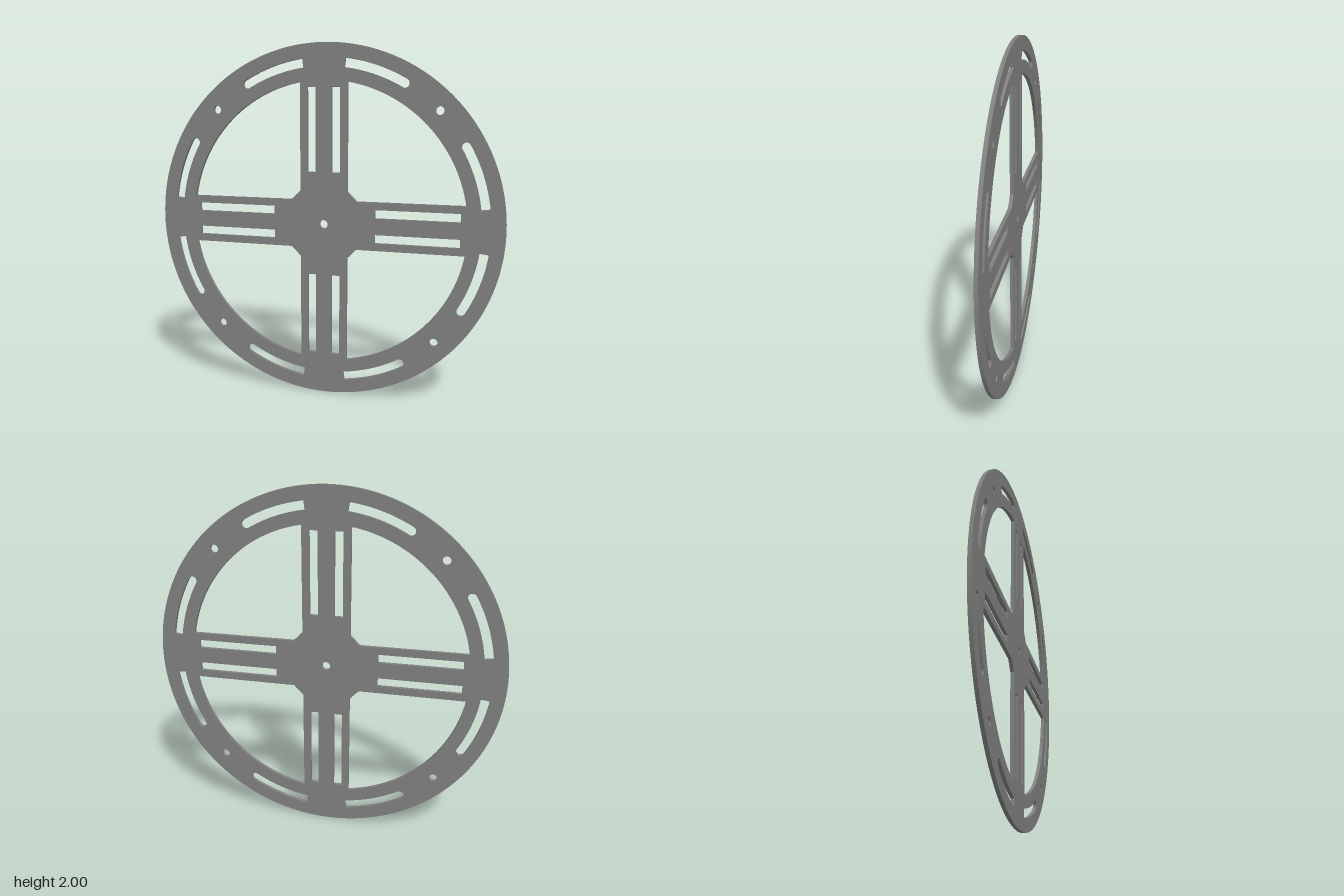
import * as THREE from 'three';
import { toCreasedNormals } from 'three/addons/utils/BufferGeometryUtils.js';

const OUTER = 1, INNER = 0.8, THICK = 0.02;
const SPOKE = 0.136;                  // half width of a spoke
const HUB = 0.19;                     // where the hub's chamfer meets a spoke
const SLOT_R = 0.898, SLOT_W = 0.0245; // curved slot: mid radius, half width
const rad = THREE.MathUtils.degToRad;

const circle = (x, y, r) => new THREE.Path().absarc(x, y, r, 0, Math.PI * 2, false);

// Opening between two spokes, in the first quadrant
function quadrantOpening() {
  const a = Math.asin(SPOKE / INNER);
  const p = new THREE.Path();
  p.moveTo(SPOKE, HUB);
  p.lineTo(HUB, SPOKE);
  p.absarc(0, 0, INNER, a, Math.PI / 2 - a, false);
  p.closePath();
  return p;
}

// Curved rim slot: square end by the spoke, round end away from it
function rimSlot() {
  const a = rad(7.6), b = rad(29.9);
  const p = new THREE.Path();
  p.absarc(0, 0, SLOT_R + SLOT_W, a, b, false);
  p.absarc(SLOT_R * Math.cos(b), SLOT_R * Math.sin(b), SLOT_W, b, b + Math.PI, false);
  p.absarc(0, 0, SLOT_R - SLOT_W, b, a, true);
  p.closePath();
  return p;
}

// Straight slot along a spoke
function spokeSlot() {
  const [x0, x1, y0, y1] = [0.294, 0.762, 0.046, 0.094];
  return new THREE.Path([[x0, y0], [x1, y0], [x1, y1], [x0, y1]].map(c => new THREE.Vector2(...c)));
}

// Copy of a path, mirrored across the x axis if asked, then turned
function place(path, turn, mirror = 1, divisions = 24) {
  const o = new THREE.Vector2();
  return new THREE.Path(path.getPoints(divisions).map(
    p => new THREE.Vector2(p.x, p.y * mirror).rotateAround(o, turn)));
}

export function createModel() {
  const plate = new THREE.Shape().absarc(0, 0, OUTER, 0, Math.PI * 2, false);
  plate.holes.push(place(circle(0, 0, 0.024), 0, 1, 12)); // axle hole

  for (let i = 0; i < 4; i++) {
    const turn = i * Math.PI / 2;
    plate.holes.push(place(quadrantOpening(), turn, 1, 40));
    plate.holes.push(place(circle(0.636, 0.636, 0.023), turn, 1, 12)); // bolt hole
    for (const mirror of [1, -1]) {
      plate.holes.push(place(rimSlot(), turn, mirror, 16));
      plate.holes.push(place(spokeSlot(), turn, mirror));
    }
  }

  const geometry = new THREE.ExtrudeGeometry(plate, { depth: THICK, bevelEnabled: false, curveSegments: 72 });
  geometry.translate(0, OUTER, -THICK / 2);

  // Dark grey plate
  const wheel = new THREE.Mesh(
    toCreasedNormals(geometry, rad(35)),
    new THREE.MeshStandardMaterial({ color: 0x808080 }));
  wheel.name = 'wheelPlate';

  const group = new THREE.Group();
  group.name = 'spokedWheel';
  group.add(wheel);
  return group;
}
